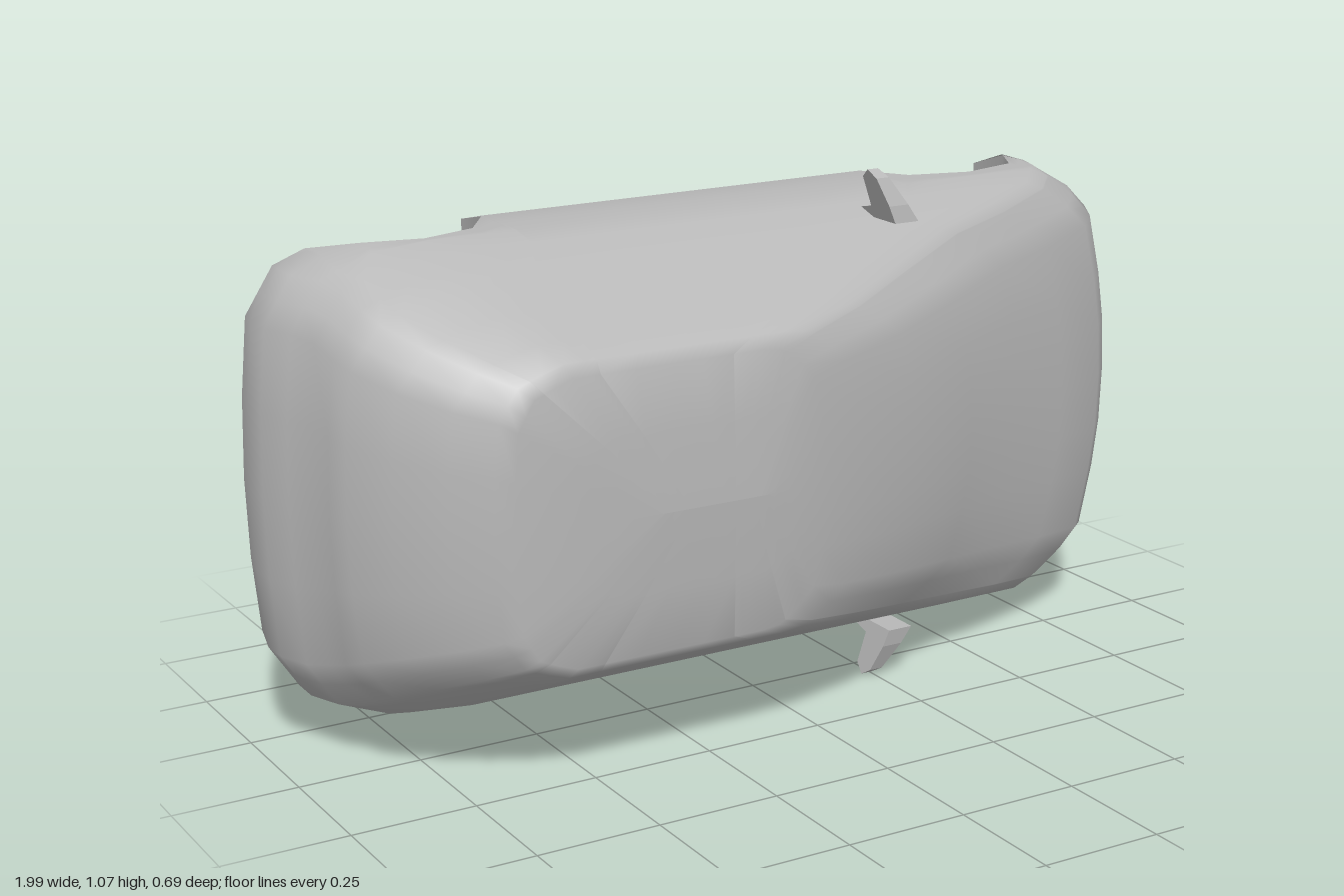
import * as THREE from 'three';

const MID = 0.535;   // height of the lengthwise symmetry plane
const BELT = -0.07;  // below this level the sides make room for the wheel arches
const WELL = 0.32;   // inner wall of the wheel wells

// Outline per level: z, rear x, front x, half width
const levels = [
  [-0.345, -0.955, 0.975, 0.437], [-0.24, -0.985, 0.99, 0.467], [-0.16, -1, 1, 0.467],
  [BELT, -0.965, 0.945, 0.467], [-0.02, -0.94, 0.895, 0.452], [0.04, -0.93, 0.75, 0.427],
  [0.085, -0.915, 0.6, 0.405], [0.17, -0.865, 0.42, 0.365], [0.25, -0.79, 0.23, 0.327],
  [0.3, -0.72, 0.06, 0.3], [0.322, -0.69, -0.03, 0.277], [0.334, -0.55, -0.1, 0.15],
  [0.34, -0.4, -0.17, 0],
];
// Corner rounding: distance from the end, share of the half width
const rearRound = [[0, 0], [0.005, 0.35], [0.02, 0.69], [0.08, 0.89], [0.21, 1]];
const frontRound = [[0, 0], [0.005, 0.25], [0.02, 0.47], [0.05, 0.75], [0.13, 0.92], [0.21, 1]];
const floorLine = [[-1, -0.27], [-0.85, -0.303], [-0.48, -0.322], [0.41, -0.345], [1, -0.34]];
// Wheel arch outlines: x, z
const arches = {
  rear: [[-0.847, -0.303], [-0.843, -0.24], [-0.78, -0.123], [-0.663, -0.09],
    [-0.546, -0.128], [-0.484, -0.22], [-0.48, -0.322]],
  front: [[0.41, -0.345], [0.414, -0.23], [0.47, -0.145], [0.6, -0.11],
    [0.73, -0.145], [0.776, -0.23], [0.78, -0.343]],
};

function interp(table, x, col = 1) {
  if (x <= table[0][0]) return table[0][col];
  for (let i = 1; i < table.length; i++) {
    const a = table[i - 1], b = table[i];
    if (x <= b[0]) return a[col] + (b[col] - a[col]) * (x - a[0]) / (b[0] - a[0]);
  }
  return table[table.length - 1][col];
}

const endScale = (z) => Math.min(1, (interp(levels, z, 2) - interp(levels, z, 1)) / 1.2);

function halfWidth(x, z) {
  const s = endScale(z);
  return interp(levels, z, 3) * Math.min(
    interp(rearRound, (x - interp(levels, z, 1)) / s),
    interp(frontRound, (interp(levels, z, 2) - x) / s));
}

// Stations from tail to nose: fixed to an end by an offset, or at a set x
const stations = [
  ...[0, 0.005, 0.02, 0.05, 0.08].map((off) => ({ rear: off, base: floorLine[0][1] - off * 0.2 })),
  ...arches.rear.map(([x, base]) => ({ x, base })),
  ...[-0.25, 0, 0.2].map((x) => ({ x, base: interp(floorLine, x) })),
  ...arches.front.map(([x, base]) => ({ x, base })),
  ...[0.1, 0.05, 0.02, 0.005, 0].map((off) => ({ front: off, base: -0.34 })),
];

function bodyPoint(st, level) {
  const z = level < BELT ? st.base + (level + 0.345) / (BELT + 0.345) * (BELT - st.base) : level;
  const s = endScale(z), x0 = interp(levels, z, 1), x1 = interp(levels, z, 2);
  let x = st.x;
  if (st.rear !== undefined) x = x0 + st.rear * s;
  else if (st.front !== undefined) x = x1 - st.front * s;
  else if (z > BELT) x = THREE.MathUtils.lerp(x0 + 0.115 * s, x1 - 0.165 * s, (st.x + 0.85) / 1.63);
  return [x, halfWidth(x, z), z];
}

// Surface through rows of points, optionally closed around
function grid(rows, closed = false) {
  const n = rows[0].length, index = [];
  for (let i = 0; i < rows.length - 1; i++) {
    for (let j = 0; j < (closed ? n : n - 1); j++) {
      const k = (j + 1) % n, a = i * n + j, b = i * n + k;
      index.push(a, a + n, b, b, a + n, b + n);
    }
  }
  const g = new THREE.BufferGeometry();
  g.setAttribute('position', new THREE.Float32BufferAttribute(rows.flat(2), 3));
  g.setIndex(index);
  g.computeVertexNormals();
  return g;
}

const flipY = ([x, y, z]) => [x, -y, z];

export function createModel() {
  const group = new THREE.Group();
  const paint = new THREE.MeshStandardMaterial({ color: 0xb8b8b8, side: THREE.DoubleSide });
  paint.name = 'grey';
  const add = (name, geometry) => {
    const mesh = new THREE.Mesh(geometry, paint);
    mesh.name = name;
    mesh.position.y = MID;
    group.add(mesh);
  };

  // Body shell, wrapped around from one side to the other
  add('bodyShell', grid(levels.map(([z]) => {
    const half = stations.map((st) => bodyPoint(st, z));
    return [...half, ...half.slice(1, -1).reverse().map(flipY)];
  }), true));

  // Underside, stepping in at the wheel wells
  const edge = [];
  for (const st of stations) {
    const p = bodyPoint(st, levels[0][0]);
    const arch = Object.values(arches).find((a) => st.x >= a[0][0] && st.x <= a[6][0]);
    const inner = [p[0], WELL, p[2]];
    if (!arch) edge.push(p);
    else if (st.x === arch[0][0]) edge.push(p, inner);
    else if (st.x === arch[6][0]) edge.push(inner, p);
  }
  add('underside', grid([edge.map(flipY), edge]));

  // Wheel wells and mirrors on both sides
  for (const side of [1, -1]) {
    const label = side > 0 ? 'upper' : 'lower';
    const place = (rows) => {
      const r = rows.map((row) => row.map((p) => (side > 0 ? p : flipY(p))));
      return grid(side > 0 ? r : r.reverse());
    };
    for (const [end, arch] of Object.entries(arches)) {
      const outer = arch.map(([x, z]) => [x, halfWidth(x, z), z]);
      const inner = arch.map(([x, z]) => [x, WELL, z]);
      const foot = arch.map(([x]) => [x, WELL, interp(floorLine, x)]);
      add(`${label}${end}WheelArch`, place([inner, outer]));
      add(`${label}${end}WheelWellWall`, place([foot, inner]));
    }

    // Mirror: side outline in z and y, tapered and swept back towards the tip
    const outline = [[-0.01, 0.445], [0.035, 0.43], [0.11, 0.43], [0.105, 0.465],
      [0.085, 0.52], [0.06, 0.535], [0.035, 0.517], [0.035, 0.455]];
    const shape = new THREE.Shape(outline.map(([z, y]) => new THREE.Vector2(z, y * side)));
    const g = new THREE.ExtrudeGeometry(shape, { depth: 1, bevelEnabled: false });
    g.rotateY(-Math.PI / 2); // outline x becomes z, depth becomes -x
    const p = g.attributes.position;
    for (let i = 0; i < p.count; i++) {
      const t = (Math.abs(p.getY(i)) - 0.43) / 0.105;
      const thick = 0.055 - 0.03 * t;
      p.setX(i, 0.292 - 0.05 * t + (p.getX(i) + 0.5) * thick);
    }
    g.computeVertexNormals();
    add(`${label}SideMirror`, g);
  }
  return group;
}
